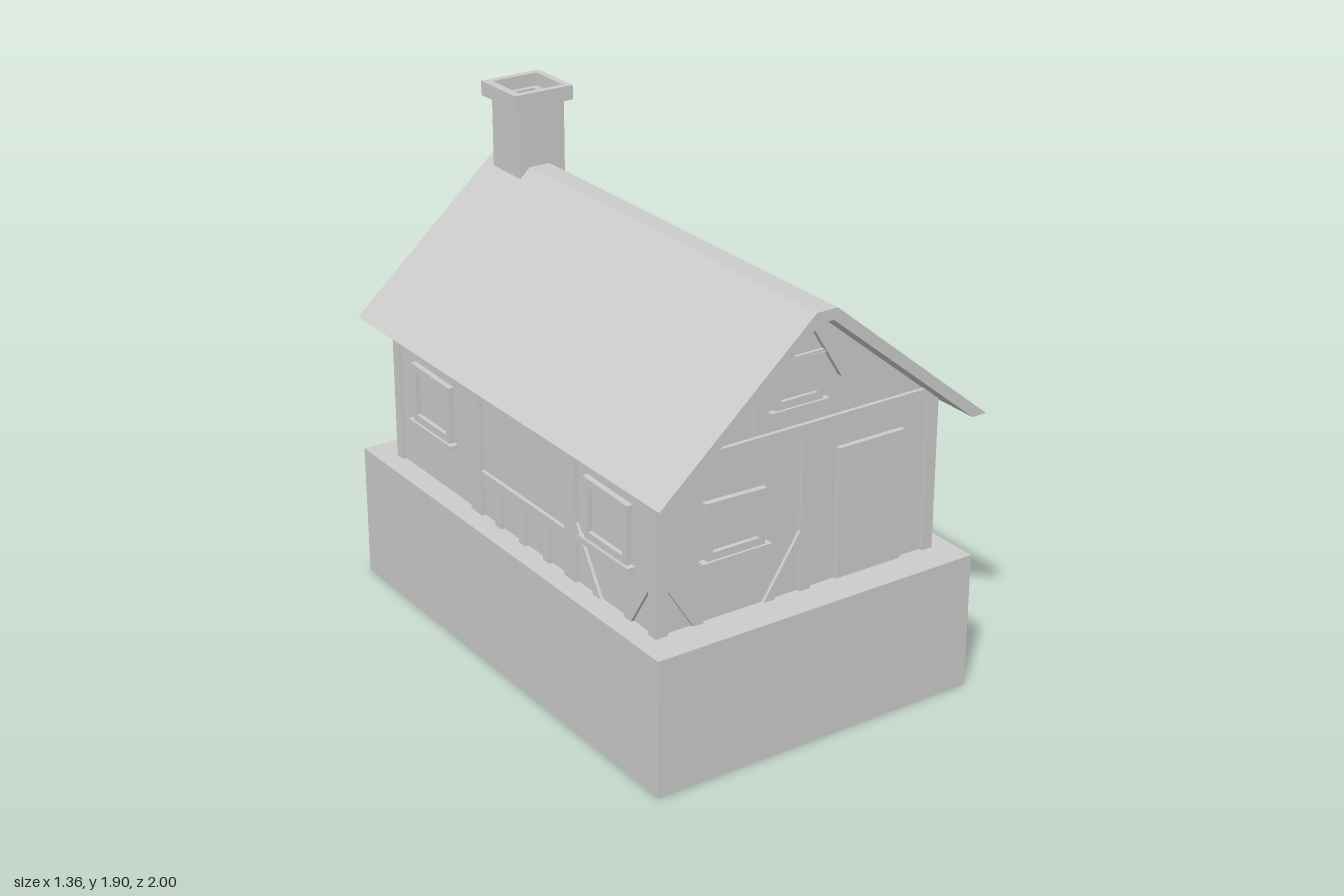
import * as THREE from 'three';

const mat = new THREE.MeshStandardMaterial({ color: 0xcccccc, flatShading: true, side: THREE.DoubleSide });

function add(parent, name, geo) {
  const m = new THREE.Mesh(geo, mat);
  m.name = name;
  parent.add(m);
  return m;
}

const shape = (pts) => new THREE.Shape(pts.map(([x, y]) => new THREE.Vector2(x, y)));
const rect = (x0, x1, y0, y1) => [[x0, y0], [x1, y0], [x1, y1], [x0, y1]];

// Extruded polygon with an optional hole, from depth d0 to d1
function plate(pts, d0, d1, hole) {
  const s = shape(pts);
  if (hole) s.holes.push(shape(hole));
  const g = new THREE.ExtrudeGeometry(s, { depth: d1 - d0, bevelEnabled: false });
  return g.translate(0, 0, d0);
}

// Same, laid flat: the outline is in x and z, extruded in y
const slab = (pts, y0, y1, hole) => {
  const flip = (p) => p && p.map(([x, z]) => [x, -z]);
  return plate(flip(pts), y0, y1, flip(hole)).rotateX(-Math.PI / 2);
};

// Wall pieces: u runs along the wall, v is height, depth points outward
const board = (w, name, u0, u1, v0, v1, d = 0.015) => add(w, name, plate(rect(u0, u1, v0, v1), -0.005, d));
const timber = (w, name, pts, d = 0.012) => add(w, name, plate(pts, -0.005, d));

// Corner brace from height va on a post at u down to the base; s gives the direction
function cornerBrace(w, u, s) {
  timber(w, 'cornerBrace', [[u, 0.75], [u + s * 0.15, 0.52], [u + s * 0.105, 0.52], [u, 0.685]]);
}

// Framed window with a sill, slightly crooked casing and a recessed pane
function windowUnit(w, u0, u1, v0, v1) {
  const g = new THREE.Group();
  g.name = 'window';
  w.add(g);
  const b = 0.03;
  const inner = [[u0 + b, v0 + 0.05], [u1 - b, v0 + 0.05], [u1 - b - 0.006, v1 - b + 0.006], [u0 + b + 0.004, v1 - b]];
  const outer = [[u0 + 0.008, v0], [u1 - 0.008, v0], [u1, v1 - 0.006], [u0, v1]];
  add(g, 'windowFrame', plate(outer, -0.008, 0.022, inner));
  add(g, 'windowPane', plate(inner, 0, 0.005));
  board(g, 'windowSill', u0 - 0.016, u1 + 0.016, v0, v0 + 0.022, 0.032);
}

export function createModel() {
  const house = new THREE.Group();
  house.name = 'house';

  // Stone base: open below, with a ledge around the house
  const box = new THREE.BoxGeometry(1.33, 0.52, 1.98);
  const idx = Array.from(box.index.array);
  box.setIndex([...idx.slice(0, 12), ...idx.slice(24, 36)]);
  box.clearGroups();
  add(house, 'baseWalls', box.translate(-0.005, 0.26, -0.01));
  const ledgeShape = shape(rect(-0.67, 0.66, -0.98, 1));
  ledgeShape.holes.push(shape(rect(-0.58, 0.57, -0.84, 0.86)));
  add(house, 'baseLedge', new THREE.ShapeGeometry(ledgeShape).rotateX(-Math.PI / 2).translate(0, 0.52, 0));

  // Four wall frames, each with its own outward direction
  const wall = (name, x, z, turn) => {
    const g = new THREE.Group();
    g.name = name;
    g.position.set(x, 0, z);
    g.rotation.y = turn;
    house.add(g);
    return g;
  };
  const front = wall('frontWall', 0, 0.84, 0);
  const back = wall('backWall', 0, -0.86, Math.PI);
  const sideA = wall('leftWall', 0.57, 0, Math.PI / 2);   // u = -z
  const sideB = wall('rightWall', -0.58, 0, -Math.PI / 2); // u = z
  const gable = [[-0.58, 0.52], [0.57, 0.52], [0.57, 1.12], [0.005, 1.58], [-0.06, 1.58], [-0.58, 1.12]];
  add(front, 'gablePanel', new THREE.ShapeGeometry(shape(gable)));
  add(back, 'gablePanel', new THREE.ShapeGeometry(shape(gable.map(([x, y]) => [-x, y]))));
  add(sideA, 'wallPanel', new THREE.ShapeGeometry(shape(rect(-0.84, 0.86, 0.52, 1.12))));
  add(sideB, 'wallPanel', new THREE.ShapeGeometry(shape(rect(-0.86, 0.84, 0.52, 1.12))));

  // Corner posts
  for (const [x0, x1] of [[-0.595, -0.545], [0.54, 0.585]])
    for (const [z0, z1] of [[0.81, 0.855], [-0.875, -0.835]])
      add(house, 'cornerPost', slab(rect(x0, x1, z0, z1), 0.52, 1.1));

  // Front: post, beam, door, window and braces
  board(front, 'middlePost', 0, 0.045, 0.52, 1.09);
  timber(front, 'gableBeam', [[-0.595, 1.09], [0.585, 1.09], [0.53, 1.145], [-0.54, 1.145]], 0.015);
  board(front, 'door', 0.155, 0.435, 0.525, 1.02, 0.02);
  windowUnit(front, -0.4, -0.15, 0.73, 0.965);
  cornerBrace(front, -0.545, 1);
  cornerBrace(front, 0, -1);

  // Arched hatch in the front gable
  const arch = [[-0.2, 1.155], [0.145, 1.155], [0.145, 1.31], [0.04, 1.49], [0.01, 1.52], [-0.03, 1.53], [-0.065, 1.52], [-0.095, 1.49], [-0.2, 1.31]];
  const archInner = [[0.145, 1.29], [0.025, 1.485], [0, 1.508], [-0.03, 1.515], [-0.055, 1.508], [-0.08, 1.485], [-0.2, 1.29]];
  timber(front, 'gableHatch', arch, 0.008);
  timber(front, 'gableArch', [...arch.slice(2), ...archInner.slice().reverse()], 0.03);
  board(front, 'gableRail', -0.135, 0.08, 1.39, 1.403, 0.02);
  windowUnit(front, -0.13, 0.08, 1.205, 1.4);

  // Shuttered side: posts, crossed braces, two windows
  board(sideA, 'post', -0.37, -0.325, 0.52, 1.1);
  board(sideA, 'post', 0.24, 0.28, 0.52, 1.1);
  const [a, b, c] = [-0.325, 0.24, 0.045];
  timber(sideA, 'crossBrace', [[a, 0.52], [a + c, 0.52], [b, 1.03], [b, 1.08], [b - c, 1.08], [a, 0.565]]);
  timber(sideA, 'crossBrace', [[b, 0.52], [b - c, 0.52], [a, 1.03], [a, 1.08], [a + c, 1.08], [b, 0.565]], 0.011);
  windowUnit(sideA, -0.73, -0.455, 0.705, 0.955);
  windowUnit(sideA, 0.43, 0.67, 0.715, 0.96);
  for (const [u0, u1] of [[0.3, 0.433], [0.673, 0.805]])
    add(sideA, 'shutter', plate(rect(u0, u1, 0.745, 0.975), 0.012, 0.026));

  // Other side: posts, railed middle bay, two windows, braces
  board(sideB, 'post', -0.33, -0.255, 0.52, 1.1);
  board(sideB, 'post', 0.3, 0.37, 0.52, 1.1);
  board(sideB, 'rail', -0.255, 0.3, 0.66, 0.7);
  for (const u of [-0.14, 0.02, 0.18]) board(sideB, 'shortPost', u - 0.02, u + 0.02, 0.52, 0.66);
  windowUnit(sideB, -0.73, -0.455, 0.705, 0.955);
  windowUnit(sideB, 0.43, 0.7, 0.705, 0.955);
  cornerBrace(sideB, 0.81, -1);
  cornerBrace(sideB, 0.37, 1);

  // Back: braces and the shouldered chimney breast
  cornerBrace(back, -0.54, 1);
  cornerBrace(back, 0.545, -1);
  const half = [[0.262, 0.52], [0.262, 0.81], [0.17, 0.92], [0.118, 1.07], [0.097, 1.2], [0.097, 1.53]];
  const breast = [...half, ...half.map(([u, v]) => [-u, v]).reverse()].map(([u, v]) => [u + 0.018, v]);
  timber(back, 'chimneyBreast', breast, 0.055);

  // Roof with a flat ridge
  const roof = [[-0.68, 1.07], [-0.625, 1.07], [-0.055, 1.57], [0, 1.57], [0.615, 1.07], [0.675, 1.07], [0.015, 1.61], [-0.07, 1.61]];
  add(house, 'roof', plate(roof, -0.98, 1));

  // Hollow chimney stack and cap
  const flue = rect(-0.085, 0.055, -0.895, -0.755);
  add(house, 'chimneyStack', slab(rect(-0.113, 0.082, -0.918, -0.73), 1.55, 1.85, flue));
  add(house, 'chimneyCap', slab(rect(-0.143, 0.107, -0.943, -0.707), 1.845, 1.9, rect(-0.11, 0.08, -0.915, -0.733)));

  return house;
}
